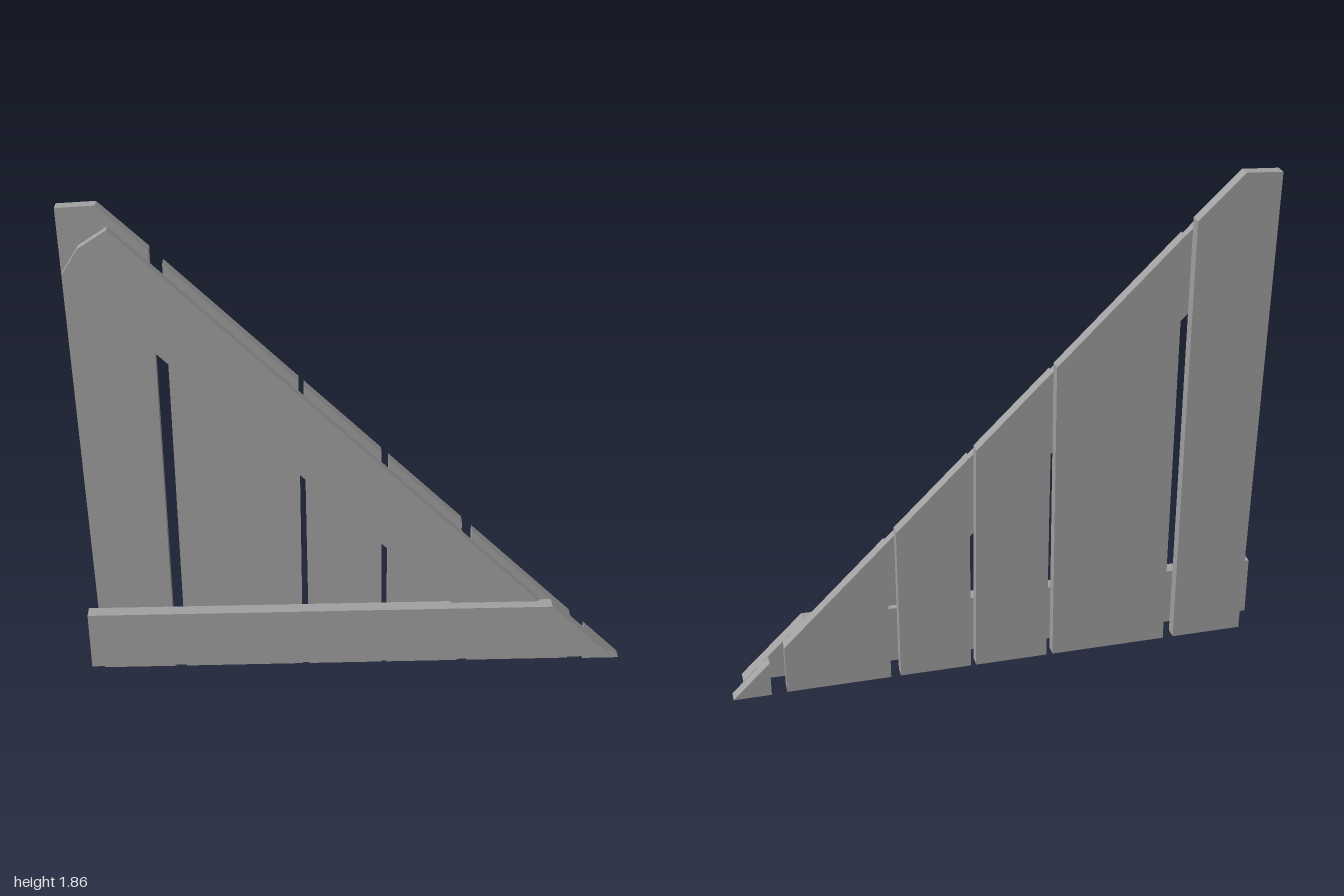
import * as THREE from 'three';

const BACK = -0.047, MID = -0.003; // plank back face, plank/batten interface

export function createModel() {
  const group = new THREE.Group();
  const wood = new THREE.MeshStandardMaterial({ color: 0xa0a0a0 });
  wood.name = 'grey wood';

  // A flat board cut to an outline in the xy plane, from z0 to z1
  function board(name, outline, z0, z1) {
    const shape = new THREE.Shape(outline.map(([x, y]) => new THREE.Vector2(x, y)));
    const geometry = new THREE.ExtrudeGeometry(shape, { depth: z1 - z0, bevelEnabled: false });
    geometry.translate(0, 0, z0);
    const mesh = new THREE.Mesh(geometry, wood);
    mesh.name = name;
    group.add(mesh);
  }

  // Tall end plank with a clipped top
  board('endPlank', [[-0.96, 0.003], [-0.69, 0.003], [-0.693, 1.698], [-0.857, 1.857], [-0.99, 1.85]], BACK, MID);

  // Upright planks cut along the slope: bottom left, bottom right, top left, top right
  const planks = [
    [-0.65, -0.208, -0.65, -0.205],
    [-0.184, 0.09, -0.188, 0.085],
    [0.11, 0.378, 0.11, 0.38],
    [0.415, 0.803, 0.418, 0.803],
  ];
  planks.forEach(([bl, br, tl, tr], i) => {
    board(`plank${i + 1}`, [[bl, 0.003], [br, 0.003], [tr, 1 - tr], [tl, 1 - tl]], BACK, MID);
  });

  // Small pointed plank at the low corner
  board('tipPlank', [[0.86, 0], [1, 0], [0.86, 0.14]], BACK, MID);

  // Bottom rail across the front
  board('bottomRail', [[-1, 0.045], [0.957, 0.045], [0.725, 0.275], [-1, 0.275]], MID, 0.047);

  // Sloping brace across the front
  board('diagonalBrace', [[-0.98, 1.63], [0.35, 0.29], [0.675, 0.29], [-0.822, 1.785], [-0.922, 1.72]], MID, 0.031);

  return group;
}
